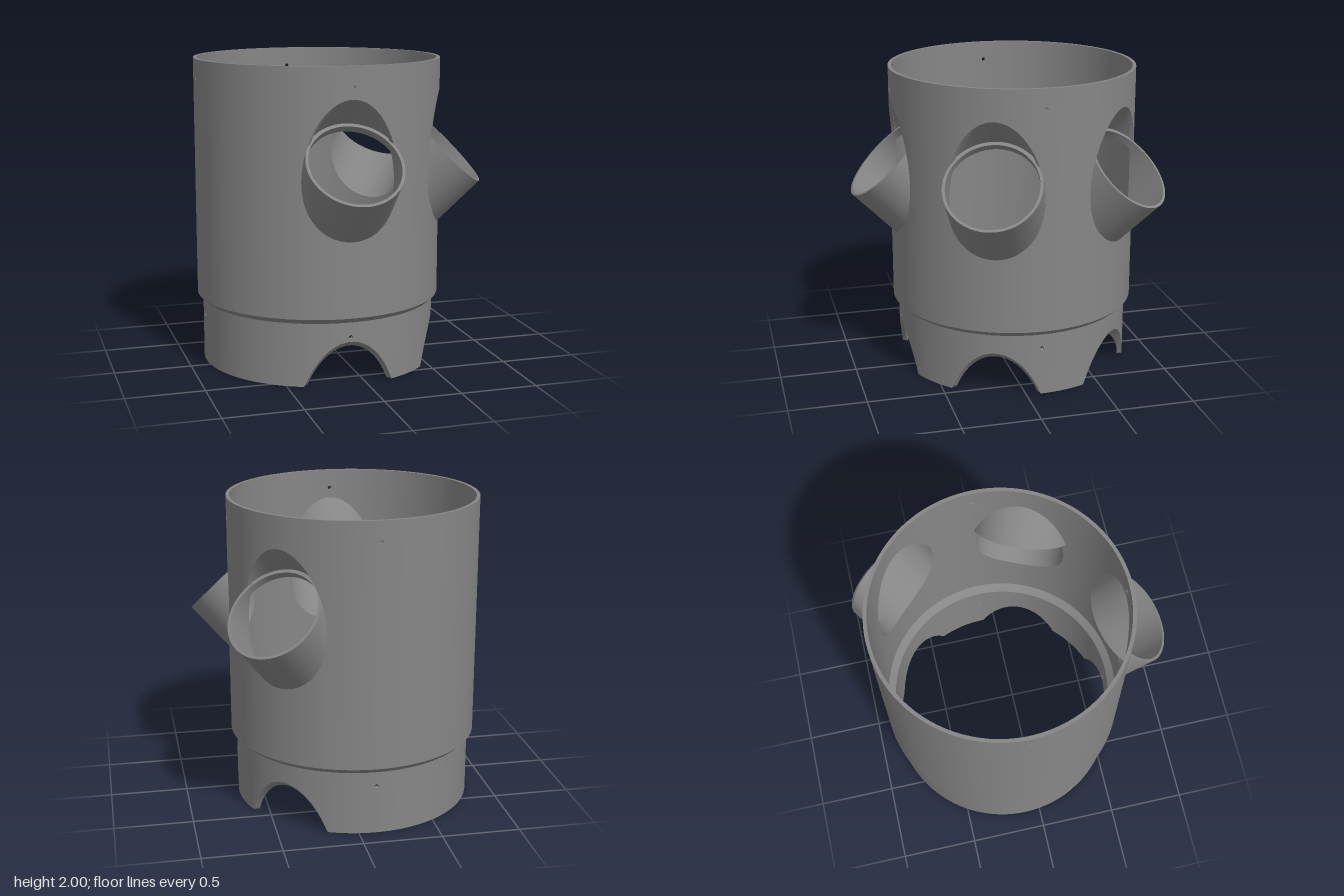
import * as THREE from 'three';
import { toCreasedNormals } from 'three/addons/utils/BufferGeometryUtils.js';

const DEG = Math.PI / 180, H = Math.SQRT1_2;
const material = new THREE.MeshStandardMaterial({ color: 0x868686, side: THREE.DoubleSide });
const PORTS = [0, 67.5, 135].map(a => a * DEG);   // azimuths of the planting ports
const PIN_ANGLES = [0, 90, 180, 270].map(a => a * DEG);
const MOUTH = { z: 0.855, y: 1.415 };             // centre of a port mouth, tilted 45 degrees

const polar = (r, a, y) => [r * Math.sin(a), y, r * Math.cos(a)];
const root = v => Math.sqrt(Math.max(0, v));

// Joins two matching closed cross-sections with quads
function join(out, A, B) {
  for (let k = 0; k < A.length; k++) {
    const n = (k + 1) % A.length;
    out.push(...A[k], ...B[k], ...B[n], ...A[k], ...B[n], ...A[n]);
  }
}

function meshFrom(positions, name) {
  let g = new THREE.BufferGeometry();
  g.setAttribute('position', new THREE.Float32BufferAttribute(positions, 3));
  g = toCreasedNormals(g, 0.6);
  const m = new THREE.Mesh(g, material);
  m.name = name;
  return m;
}

// Sweeps section(angle) from a0 to a1
function sweep(name, a0, a1, steps, section) {
  const out = [];
  for (let i = 0; i < steps; i++) {
    join(out, section(a0 + (a1 - a0) * i / steps), section(a0 + (a1 - a0) * (i + 1) / steps));
  }
  return meshFrom(out, name);
}

// Full ring turned from a closed profile of [radius, height] points
const ring = (name, profile) =>
  sweep(name, 0, 2 * Math.PI, 96, t => profile.map(([r, y]) => polar(r, t, y)));

// Tilted-cylinder cut through a wall: w is the half angle, range gives [low, high]
const portHole = (angle, R) => {
  const r = 0.308;
  return {
    angle, w: Math.asin(r / R), n: 40,
    range: (d, rad) => {
      const mid = MOUTH.y + rad * Math.cos(d) - MOUTH.z;
      const half = Math.SQRT2 * root(r * r - (R * Math.sin(d)) ** 2);
      return [mid - half, mid + half];
    }
  };
};
// Arch in the foot, leaving room for a hood below
const archHole = (angle, R) => {
  const r = 0.335;
  return {
    angle, w: Math.asin(0.295 / R), n: 32,
    range: (d, rad) => [0, Math.max(0, 0.285 + rad * Math.cos(d) - R
      + Math.SQRT2 * (root(r * r - (R * Math.sin(d)) ** 2) - r))]
  };
};
const pinHole = (angle, R, y) => {
  const r = 0.013;
  return {
    angle, w: Math.asin(r / R), n: 10,
    range: d => {
      const h = root(r * r - (R * Math.sin(d)) ** 2);
      return [y - h, y + h];
    }
  };
};

// Cylindrical wall made of narrow columns, each split wherever a hole crosses it
function wall(name, R, Ri, y0, y1, holes) {
  const wrap = a => Math.atan2(Math.sin(a), Math.cos(a));
  const angles = [];
  for (let i = 0; i < 96; i++) angles.push(wrap((i + 0.5) / 96 * 2 * Math.PI));
  for (const h of holes) {
    for (let i = 0; i <= h.n; i++) angles.push(wrap(h.angle - h.w * Math.cos(Math.PI * i / h.n)));
  }
  angles.sort((a, b) => a - b);
  const list = angles.filter((a, i) => i === 0 || a - angles[i - 1] > 1e-6);
  const out = [];
  list.forEach((a, i) => {
    const b = i + 1 < list.length ? list[i + 1] : list[0] + 2 * Math.PI;
    const cuts = holes.filter(h => Math.abs(wrap((a + b) / 2 - h.angle)) < h.w)
      .sort((p, q) => p.range(0, R)[0] - q.range(0, R)[0]);
    const edge = (k, side, t, rad) => cuts[k].range(wrap(t - cuts[k].angle), rad)[side];
    for (let k = 0; k <= cuts.length; k++) {
      const lo = (t, rad) => k === 0 ? y0 : edge(k - 1, 1, t, rad);
      const hi = (t, rad) => k === cuts.length ? y1 : edge(k, 0, t, rad);
      if (hi(a, R) - lo(a, R) < 1e-6 && hi(b, R) - lo(b, R) < 1e-6) continue;
      const section = t => [polar(R, t, lo(t, R)), polar(R, t, hi(t, R)),
        polar(Ri, t, hi(t, Ri)), polar(Ri, t, lo(t, Ri))];
      join(out, section(a), section(b));
    }
  });
  return meshFrom(out, name);
}

// Point in the port's tilted frame: radius r, turn f, distance s along the axis
const tilted = (r, f, s) => [
  r * Math.cos(f),
  MOUTH.y + H * (s + r * Math.sin(f)),
  MOUTH.z + H * (s - r * Math.sin(f))
];
// Distance along the port axis at which it meets the wall of radius R
const meet = (r, f, R) => (root(R * R - (r * Math.cos(f)) ** 2) - MOUTH.z) / H + r * Math.sin(f);

function port(angle) {
  const g = new THREE.Group();
  g.name = 'port';
  const LIP = -0.05;
  // Short pipe that slopes out of the wall
  g.add(sweep('portPipe', 0, 2 * Math.PI, 80, f => {
    const start = r => Math.min(meet(r, f, 0.78), LIP);
    return [tilted(0.307, f, start(0.307)), tilted(0.307, f, 0),
      tilted(0.289, f, 0), tilted(0.289, f, start(0.289))];
  }));
  // Hood recessed inside the wall above the mouth
  let f0 = 0;
  while (meet(0.312, f0, 0.8) < LIP) f0 += 0.005;
  g.add(sweep('portHood', f0, Math.PI - f0, 48, f => {
    const end = r => Math.max(meet(r, f, r > 0.32 ? 0.79 : 0.799), LIP);
    return [tilted(0.33, f, LIP), tilted(0.33, f, end(0.33)), tilted(0.312, f, end(0.312)),
      tilted(0.312, f, Math.min(0, end(0.312))), tilted(0.3, f, Math.min(0, end(0.312))),
      tilted(0.3, f, LIP)];
  }));
  g.rotation.y = angle;
  return g;
}

export function createModel() {
  const model = new THREE.Group();
  model.name = 'planterTower';

  // Upper body with port and pin holes
  model.add(wall('upperWall', 0.803, 0.78, 0.445, 2, [
    ...PORTS.map(a => portHole(a, 0.803)), ...PIN_ANGLES.map(a => pinHole(a, 0.803, 1.875))]));

  // Sloped shoulder outside, sloped ledge inside
  model.add(ring('shoulder', [[0.767, 0.41], [0.803, 0.445], [0.783, 0.445], [0.75, 0.41]]));
  model.add(ring('innerLedge', [[0.79, 0.5], [0.79, 0.565], [0.78, 0.565], [0.735, 0.52], [0.75, 0.5]]));

  // Narrower foot with arches, reaching up to the ledge
  model.add(wall('footWall', 0.767, 0.735, 0, 0.52, [
    ...PORTS.map(a => archHole(a, 0.767)), ...PIN_ANGLES.map(a => pinHole(a, 0.767, 0.315))]));

  for (const a of PORTS) model.add(port(a));

  // Hose clip on the inside of the foot
  const clip = new THREE.Group();
  clip.name = 'hoseClip';
  for (const side of [-1, 1]) {
    const ends = [20 * DEG, 135 * DEG].map(t => side * t).sort((p, q) => p - q);
    clip.add(sweep('clipProng', ends[0], ends[1], 14, t =>
      [[0.07, 0.2], [0.07, 0.28], [0.05, 0.28], [0.05, 0.2]].map(([r, y]) => {
        const p = polar(r, t, y);
        p[2] += 0.69;
        return p;
      })));
  }
  clip.rotation.y = -112.5 * DEG;
  model.add(clip);

  model.position.set(-0.11, 0, -0.1);
  const group = new THREE.Group();
  group.name = 'model';
  group.add(model);
  return group;
}
